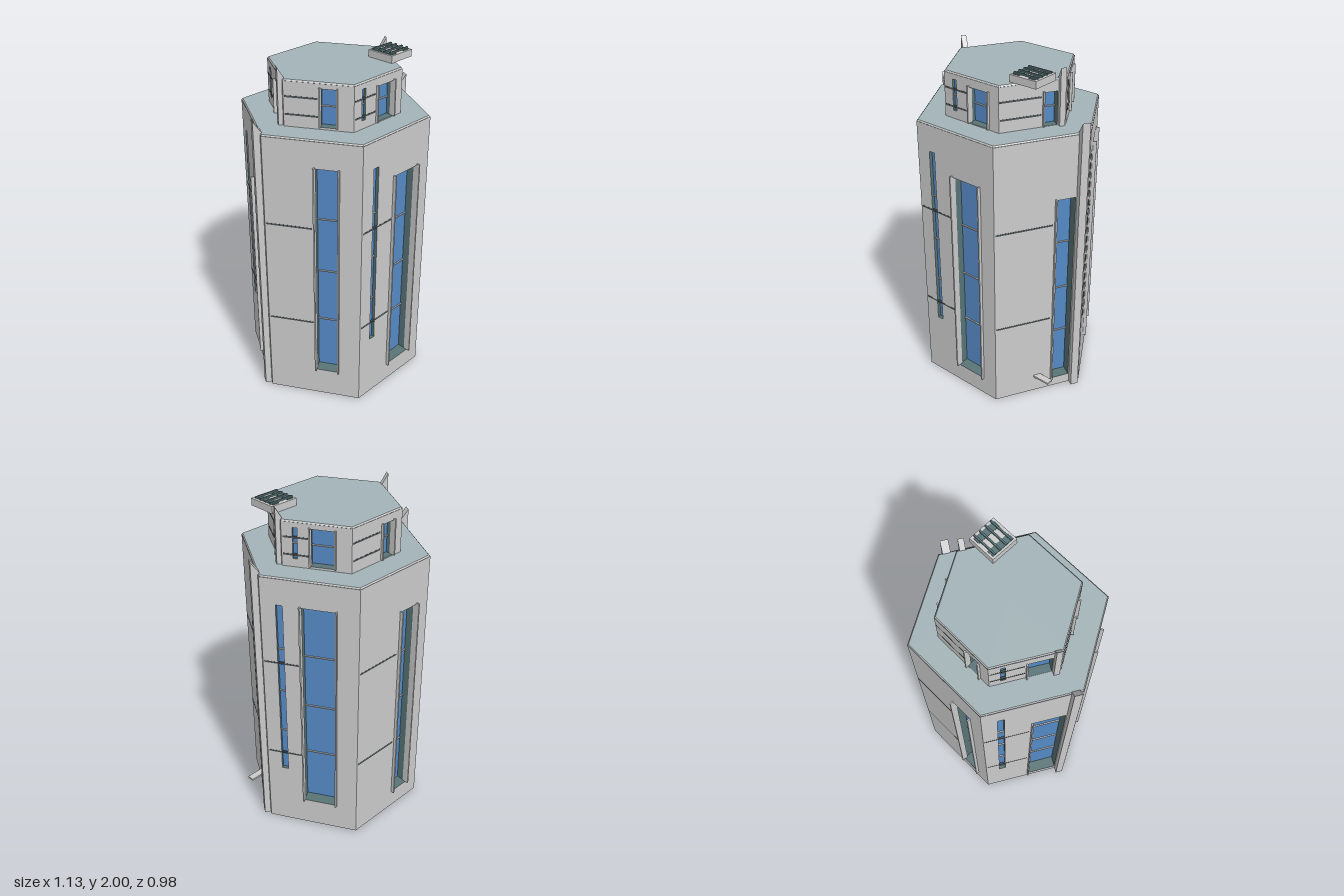
import * as THREE from 'three';

const mat = (color) => new THREE.MeshStandardMaterial({ color, flatShading: true });
const grey = mat(0xcccccc);
const glass = mat(0x558ac6);
const dark = mat(0x5a7578);
const groove = mat(0x4a5254);
const roofMat = mat(0xa3b4b8);

function add(parent, name, geometry, material, x = 0, y = 0, z = 0) {
  const mesh = new THREE.Mesh(geometry, material);
  mesh.name = name;
  mesh.position.set(x, y, z);
  parent.add(mesh);
  return mesh;
}

// Box given by its limits on each axis
function block(parent, name, material, [x0, x1], [y0, y1], [z0, z1]) {
  return add(parent, name, new THREE.BoxGeometry(x1 - x0, y1 - y0, z1 - z0), material,
    (x0 + x1) / 2, (y0 + y1) / 2, (z0 + z1) / 2);
}

// Hexagonal slab with corners on the x axis
function hexSlab(parent, name, rTop, rBottom, y0, y1, materials) {
  const g = new THREE.CylinderGeometry(rTop, rBottom, y1 - y0, 6).rotateY(Math.PI / 6);
  add(parent, name, g, materials, 0, (y0 + y1) / 2, 0);
}

function rectPath(path, [x0, x1], [y0, y1]) {
  path.moveTo(x0, y0);
  path.lineTo(x1, y0);
  path.lineTo(x1, y1);
  path.lineTo(x0, y1);
  path.closePath();
  return path;
}

// Wall layouts around the hexagon, across the face in lower-storey units.
// size picks the window height; slit adds a narrow window; pier adds a corner pier.
const WALLS = [
  { window: [-0.022, 0.176], size: 1, slit: true, groove: [-0.265, -0.032] },
  { window: [0.083, 0.2], size: 2, pier: true, groove: [-0.265, 0.068] },
  { window: [-0.052, 0.148], size: 0, slit: true, groove: [-0.262, -0.064] },
  { window: [0.047, 0.18], size: 1, groove: [-0.265, 0.03] },
  { window: [0.008, 0.2], size: 2, slit: true, pier: true, groove: [-0.265, -0.005] },
  { window: [0.01, 0.146], size: 0, groove: [-0.265, -0.005] },
];

const STOREYS = [
  { name: 'lower', r: 0.545, y: [0, 1.675], k: 1, panes: 4, grooves: [0.52, 1.15],
    heights: [[0.175, 1.515], [0.115, 1.41], [0.06, 1.3]], slit: [0.4, 1.515], pierTop: [1.68, 1.745] },
  { name: 'upper', r: 0.38, y: [1.675, 1.935], k: 0.695, panes: 2, grooves: [1.747, 1.846],
    heights: [[1.69, 1.902], [1.683, 1.883], [1.68, 1.868]], slit: [1.725, 1.9], pierTop: [1.94, 2] },
];

function buildWall(storey, wall, angle) {
  const { r, k, y, panes } = storey;
  const group = new THREE.Group();
  group.name = storey.name + 'Wall';
  group.rotation.y = angle;
  const a = r * Math.cos(Math.PI / 6);
  const depth = 0.07 * k;
  const win = wall.window.map((u) => u * k);
  const h = storey.heights[wall.size];
  const slit = [-0.186 * k, -0.148 * k];

  // Wall panel with window openings
  const shape = rectPath(new THREE.Shape(), [-r / 2, r / 2], [y[0] + 0.002, y[1] - 0.005]);
  shape.holes.push(rectPath(new THREE.Path(), win, h));
  if (wall.slit) shape.holes.push(rectPath(new THREE.Path(), slit, storey.slit));
  const panel = new THREE.ExtrudeGeometry(shape, { depth, bevelEnabled: false });
  add(group, 'wallPanel', panel, [grey, dark], 0, 0, a - depth);

  // Glazing with crossbars
  const glaze = (span, height, back, name) => {
    block(group, name, glass, span, height, [a - depth - 0.002, a - back]);
    for (let i = 1; i < panes; i++) {
      const yy = height[0] + (height[1] - height[0]) * i / panes;
      block(group, 'crossbar', grey, span, [yy - 0.003, yy + 0.003], [a - back, a - back + 0.008]);
    }
  };
  glaze(win, h, depth - 0.002, 'wideWindow');
  if (wall.slit) glaze(slit, storey.slit, 0.02 * k, 'narrowWindow');

  // Upright fins beside the wide window
  for (const u of wall.pier ? [win[0]] : win) {
    block(group, 'windowFin', grey, [u - 0.004, u + 0.004], [h[0], h[1] + 0.008], [a - 0.02, a + 0.02 * k]);
  }

  // Horizontal joints
  for (const gy of storey.grooves) {
    block(group, 'wallJoint', groove, wall.groove.map((u) => u * k),
      [gy - 0.005, gy + 0.005], [a - 0.01, a + 0.001]);
  }

  // Corner pier with a sloping top, profile drawn outwards from the wall
  if (wall.pier) {
    const p = new THREE.Shape();
    p.moveTo(-0.01, y[0]);
    p.lineTo(0.036 * k, y[0]);
    p.lineTo(0.036 * k, storey.pierTop[1]);
    p.lineTo(-0.01, storey.pierTop[0]);
    p.closePath();
    const g = new THREE.ExtrudeGeometry(p, { depth: 0.045 * k, bevelEnabled: false });
    g.rotateY(-Math.PI / 2);
    add(group, 'cornerPier', g, grey, 0.25 * k, 0, a);
  }
  return group;
}

export function createModel() {
  const model = new THREE.Group();
  model.name = 'hexagonalTower';

  for (const s of STOREYS) {
    const storey = new THREE.Group();
    storey.name = s.name + 'Storey';
    WALLS.forEach((wall, i) => storey.add(buildWall(s, wall, i * Math.PI / 3)));
    hexSlab(storey, s.name + 'Floor', s.r, s.r, s.y[0], s.y[0] + 0.004, grey);
    hexSlab(storey, s.name + 'Roof', s.r - 0.008, s.r, s.y[1] - 0.008, s.y[1] + 0.003, [grey, roofMat, grey]);
    model.add(storey);
  }

  // Rooftop unit with slats on rails
  const unit = new THREE.Group();
  unit.name = 'rooftopUnit';
  block(unit, 'unitBox', grey, [0.195, 0.365], [1.938, 1.979], [0.08, 0.248]);
  for (const x of [0.227, 0.328]) {
    block(unit, 'rail', dark, [x - 0.02, x + 0.02], [1.978, 1.983], [0.092, 0.236]);
  }
  for (const z of [0.106, 0.143, 0.184, 0.222]) {
    block(unit, 'slat', dark, [0.205, 0.357], [1.982, 1.991], [z - 0.005, z + 0.005]);
  }
  model.add(unit);

  // Small ledge beside the ground-level window
  block(model, 'ledge', grey, [0.395, 0.505], [0.105, 0.116], [0.224, 0.266]);
  return model;
}
